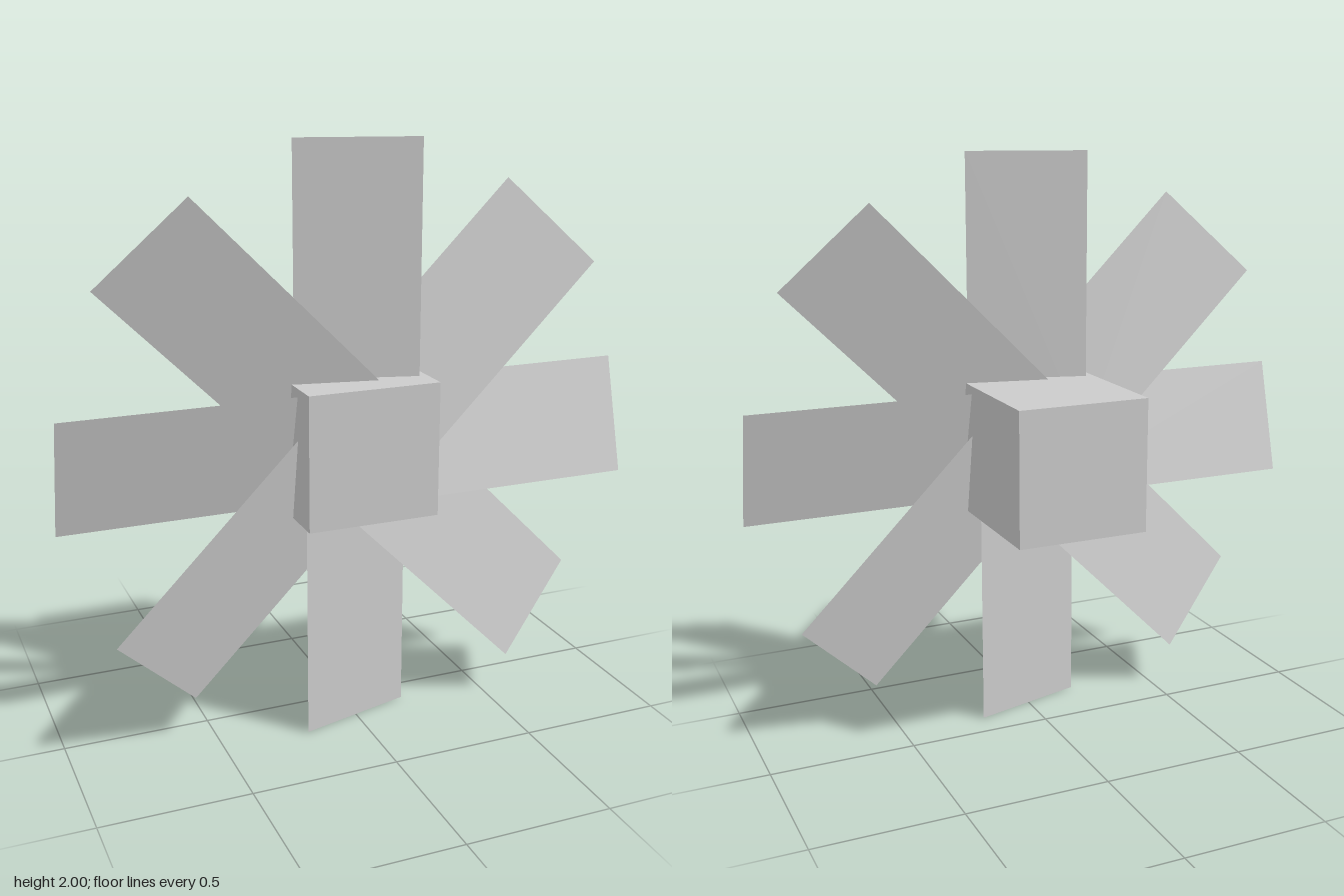
import * as THREE from 'three';

export function createModel() {
  const model = new THREE.Group();
  model.name = 'fan';
  const hubMaterial = new THREE.MeshStandardMaterial({ color: 0xcccccc, flatShading: true });
  const bladeMaterial = new THREE.MeshStandardMaterial({ color: 0xcccccc, flatShading: true, side: THREE.DoubleSide });

  // Square hub block
  const hub = new THREE.Mesh(new THREE.BoxGeometry(0.456, 0.456, 0.614), hubMaterial);
  hub.name = 'hub';
  hub.position.y = 1;
  model.add(hub);

  // Thin blade reaching from the hub centre, pitched about its own length
  const pitch = THREE.MathUtils.degToRad(15);
  const bladeGeometry = new THREE.PlaneGeometry(0.4 / Math.cos(pitch), 1);
  bladeGeometry.translate(0, 0.5, 0).rotateY(-pitch);

  // Eight blades around the hub
  const bladeCount = 8;
  for (let i = 0; i < bladeCount; i++) {
    const blade = new THREE.Mesh(bladeGeometry, bladeMaterial);
    blade.name = `blade${i + 1}`;
    blade.position.set(0, 1, 0.154);
    blade.rotation.z = (i / bladeCount) * Math.PI * 2;
    model.add(blade);
  }
  return model;
}
